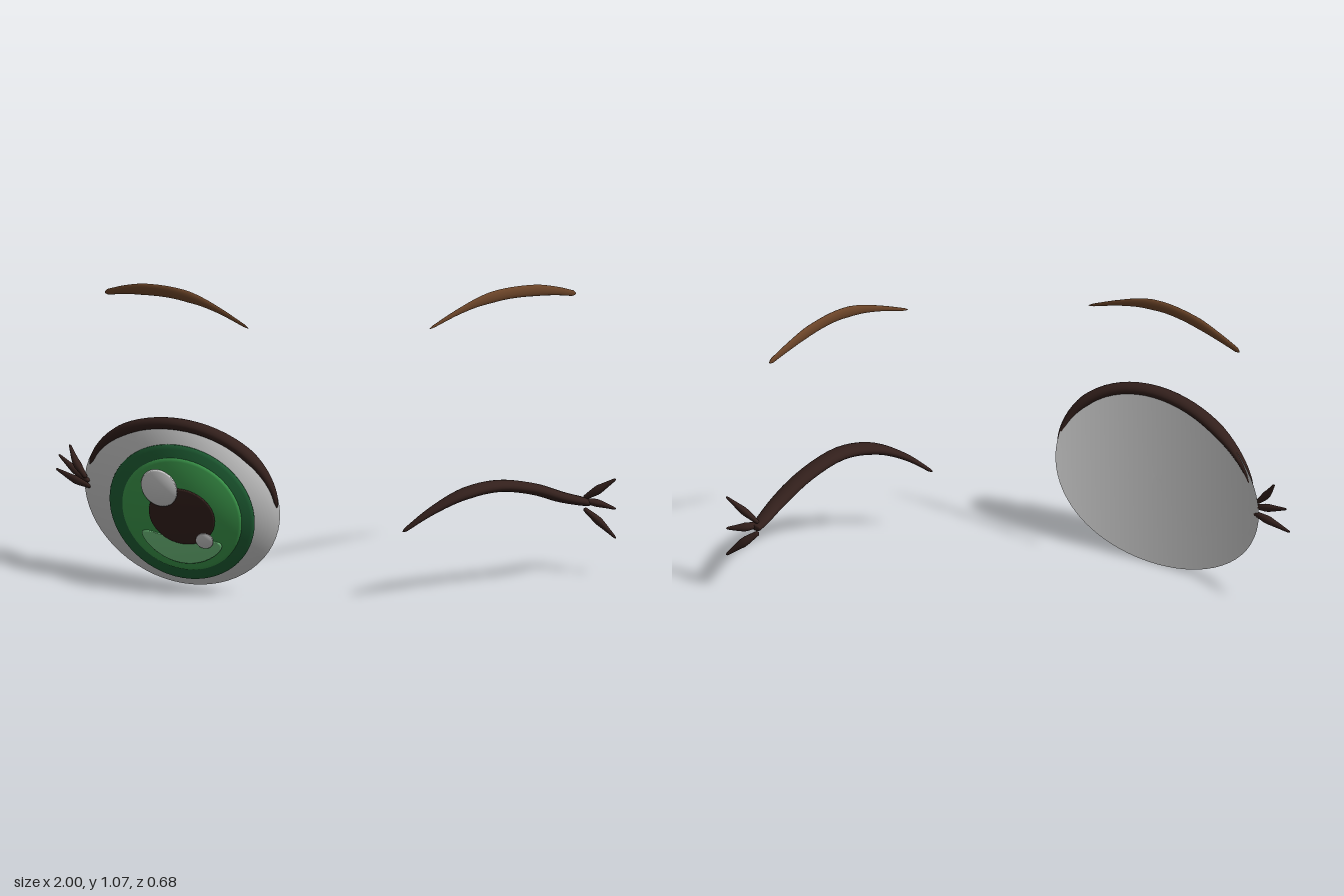
import * as THREE from 'three';

const paint = color => new THREE.MeshStandardMaterial({ color, side: THREE.DoubleSide });
const lashDark = paint(0x33201c);
const browBrown = paint(0x6b4428);
const V = (x, y, z) => new THREE.Vector3(x, y, z);

// Indexed grid; each row is a closed loop of points.
function gridGeometry(rows, flip) {
  const n = rows[0].length, index = [];
  for (let i = 0; i < rows.length - 1; i++) {
    for (let j = 0; j < n; j++) {
      const a = i * n + j, b = i * n + (j + 1) % n, c = a + n, d = b + n;
      if (flip) index.push(a, c, b, b, c, d);
      else index.push(a, b, c, b, d, c);
    }
  }
  const g = new THREE.BufferGeometry().setFromPoints(rows.flat());
  g.setIndex(index);
  g.computeVertexNormals();
  return g;
}

function addMesh(group, name, geometry, material) {
  const m = new THREE.Mesh(geometry, material);
  m.name = name;
  group.add(m);
}

// Tapered elliptical strand along a curve: "tall" across, "deep" along the outward direction.
function strand(points, tall, deep, taper, outward, steps = 48) {
  const curve = new THREE.CatmullRomCurve3(points.map(p => V(...p)));
  const rows = [];
  for (let i = 0; i <= steps; i++) {
    const t = (1 - Math.cos(Math.PI * i / steps)) / 2;
    const p = curve.getPoint(t), T = curve.getTangent(t);
    const B = T.clone().cross(outward).normalize(), N = B.clone().cross(T);
    const r = Math.max(taper(t), 0.001), row = [];
    for (let j = 0; j < 16; j++) {
      const a = j / 16 * Math.PI * 2;
      row.push(p.clone().addScaledVector(N, Math.cos(a) * deep * r).addScaledVector(B, Math.sin(a) * tall * r));
    }
    rows.push(row);
  }
  return gridGeometry(rows, false);
}

// Taper rules, each with rounded ends.
const cap = (t, k) => Math.min(1, Math.sqrt(k * t), Math.sqrt(k * (1 - t)));
const openTaper = t => Math.min(1, 0.3 + 3 * t, 0.25 + 3 * (1 - t)) * cap(t, 40);
const winkTaper = t => Math.min(1, 0.25 + 2.4 * t, 0.6 + 1.2 * (1 - t)) * cap(t, 60);
const browTaper = t => Math.min(1, 0.2 + 2 * t, 0.45 + 1.8 * (1 - t)) * cap(t, 40);
const spikeTaper = t => Math.min(1, 0.5 + 1.2 * t, 0.25 + 1.5 * (1 - t)) * cap(t, 25);

// Eye surfaces: a rim sheet wrapped round the head, and a dome raised on it.
const CX = -0.546, CY = 0.315, RX = 0.35, RY = 0.313;
const eyeUV = (x, y) => [(x - CX) / RX, (y - CY) / RY];
function rimZ(x, y) {
  const [u, v] = eyeUV(x, y);
  return 0.12 + 0.235 * u + 0.065 * v - 0.062 * u * u;
}
function eyeZ(x, y) {
  const [u, v] = eyeUV(x, y);
  return rimZ(x, y) + 0.125 * Math.max(0, 1 - u * u - v * v) ** 0.9;
}

// Rounded patch raised over a surface, with its edge dropped down to it.
function patch(cx, cy, rx, ry, { lift = 0, dome = 0, bend = 0, surface = eyeZ, back = false } = {}) {
  const rows = [], rings = 18, segs = 64;
  for (let i = 0; i <= rings + (lift ? 1 : 0); i++) {
    const r = Math.min(i / rings, 1), row = [];
    for (let j = 0; j < segs; j++) {
      const a = j / segs * Math.PI * 2, c = r * Math.cos(a), s = r * Math.sin(a);
      const x = cx + rx * c, y = cy + ry * s + bend * c * c;
      row.push(V(x, y, surface(x, y) + (i > rings ? 0 : lift + dome * (1 - r * r))));
    }
    rows.push(row);
  }
  return gridGeometry(rows, !back);
}

export function createModel() {
  const model = new THREE.Group();
  const outL = V(0.55, 0, 0.83), outR = V(-0.55, 0, 0.83);

  // Open eye on the right
  const eye = new THREE.Group();
  eye.name = 'openEye';
  addMesh(eye, 'eyeWhite', patch(CX, CY, RX, RY), paint(0xcccccc));
  addMesh(eye, 'eyeBack', patch(CX, CY, RX, RY, { surface: rimZ, back: true }), paint(0xcccccc));
  addMesh(eye, 'irisRim', patch(-0.546, 0.292, 0.26, 0.26, { lift: 0.009 }), paint(0x1f6035));
  addMesh(eye, 'iris', patch(-0.546, 0.292, 0.214, 0.216, { lift: 0.013 }), paint(0x3c9a4c));
  addMesh(eye, 'irisGlow', patch(-0.546, 0.157, 0.143, 0.052, { lift: 0.018, bend: 0.04 }), paint(0x72c480));
  addMesh(eye, 'pupil', patch(-0.546, 0.296, 0.118, 0.106, { lift: 0.022 }), paint(0x33201c));
  addMesh(eye, 'largeHighlight', patch(-0.627, 0.39, 0.065, 0.065, { lift: 0.028, dome: 0.015 }), paint(0xcccccc));
  addMesh(eye, 'smallHighlight', patch(-0.465, 0.215, 0.031, 0.031, { lift: 0.026, dome: 0.008 }), paint(0xcccccc));

  // Upper lid line following the rim of the open eye
  const lid = [];
  for (let i = 0; i <= 14; i++) {
    const a = THREE.MathUtils.degToRad(166 - i * 11.5);
    const x = CX + RX * 0.975 * Math.cos(a), y = CY + 0.003 + RY * 0.965 * Math.sin(a);
    lid.push([x, y, eyeZ(x, y) + 0.006]);
  }
  addMesh(eye, 'upperLid', strand(lid, 0.021, 0.027, openTaper, outR), lashDark);

  // Lashes at the outer corner
  [[[-0.89, 0.338, -0.135], [-0.925, 0.385, -0.165], [-0.95, 0.444, -0.202]],
   [[-0.88, 0.325, -0.135], [-0.93, 0.35, -0.2], [-0.99, 0.386, -0.282]],
   [[-0.875, 0.305, -0.14], [-0.93, 0.31, -0.22], [-1.0, 0.32, -0.335]],
  ].forEach((p, i) => addMesh(eye, 'lash' + (i + 1), strand(p, 0.014, 0.015, spikeTaper, outR, 16), lashDark));
  model.add(eye);

  // Closed, winking eye on the left
  const wink = new THREE.Group();
  wink.name = 'closedEye';
  addMesh(wink, 'closedLid', strand([
    [0.24, 0.259, 0.314], [0.34, 0.33, 0.3], [0.45, 0.383, 0.265], [0.57, 0.4, 0.205],
    [0.7, 0.366, 0.11], [0.8, 0.313, 0.02], [0.87, 0.275, -0.07], [0.895, 0.262, -0.1],
  ], 0.021, 0.034, winkTaper, outL), lashDark);
  [[[0.88, 0.28, -0.09], [0.935, 0.32, -0.065], [0.995, 0.364, -0.04]],
   [[0.87, 0.275, -0.085], [0.93, 0.263, -0.085], [0.995, 0.248, -0.062]],
   [[0.88, 0.243, -0.09], [0.935, 0.197, -0.078], [0.995, 0.14, -0.06]],
  ].forEach((p, i) => addMesh(wink, 'lash' + (i + 1), strand(p, 0.014, 0.018, spikeTaper, outL, 16), lashDark));
  model.add(wink);

  // Eyebrows, mirrored about their shared midline
  const brow = [[0.334, 0.974, 0.194], [0.44, 1.02, 0.12], [0.52, 1.045, 0.065], [0.6, 1.054, 0.005],
    [0.7, 1.044, -0.085], [0.78, 1.022, -0.165], [0.85, 0.995, -0.232]];
  addMesh(model, 'leftBrow', strand(brow, 0.021, 0.01, browTaper, outL), browBrown);
  addMesh(model, 'rightBrow', strand(brow.map(([x, y, z]) => [0.025 - x, y, z]), 0.021, 0.01, browTaper, outR), browBrown);

  return model;
}
